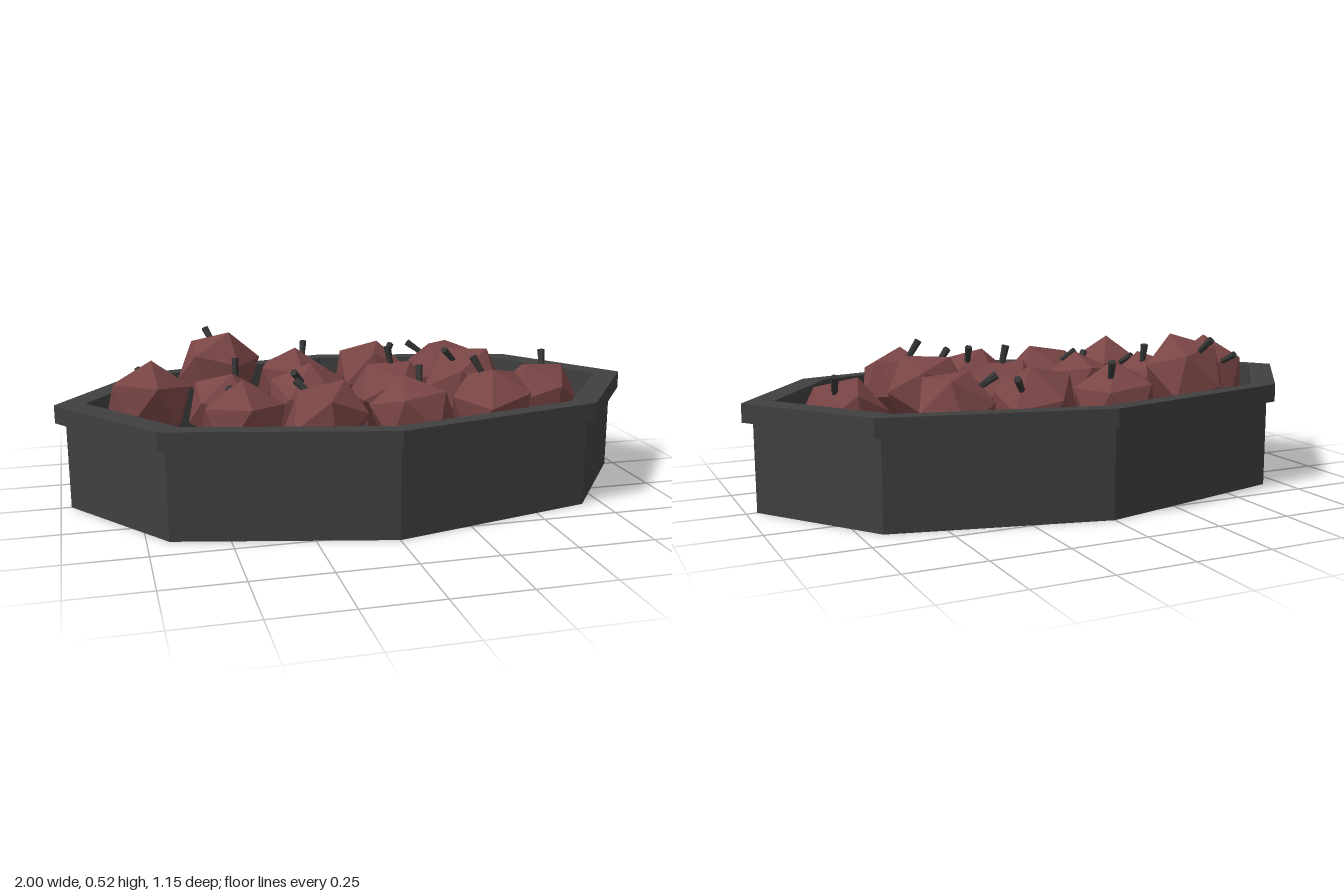
import * as THREE from 'three';

export function createModel() {
  const model = new THREE.Group();
  const mat = (name, color) => new THREE.MeshStandardMaterial({ name, color, flatShading: true });
  const trayGrey = mat('tray grey', 0x404040);
  const fruitRed = mat('fruit red', 0x7a4545);
  const stemGrey = mat('stem grey', 0x363636);

  // Eight-sided tray: base, wall, overhanging rim, inner wall and floor
  const profile = [[0, 0], [0.966, 0], [0.966, 0.29], [1, 0.29], [1, 0.35], [0.9, 0.35], [0.9, 0.1], [0, 0.1]]
    .map(([x, y]) => new THREE.Vector2(x, y));
  const tray = new THREE.Mesh(new THREE.LatheGeometry(profile, 8), trayGrey);
  tray.name = 'tray';
  tray.scale.z = 0.577;
  model.add(tray);

  // Faceted fruit, slightly squashed along the stem axis
  const bodyGeo = new THREE.IcosahedronGeometry(0.15, 0);
  const stemGeo = new THREE.CylinderGeometry(0.013, 0.009, 0.08, 6);
  const up = new THREE.Vector3(0, 1, 0);

  // Each row: x, y, z, sideways lean of the stem in x and z, spin
  const fruits = [
    [-0.43, 0.385, -0.27, -0.02, -0.09, 0.4],
    [-0.16, 0.31, -0.27, 0.05, -0.06, 1.0],
    [0.13, 0.32, -0.27, 0.09, -0.07, 0.6],
    [0.40, 0.32, -0.27, -0.09, -0.04, 2.0],
    [-0.70, 0.335, -0.01, -0.01, -0.12, 0.2],
    [-0.43, 0.30, -0.02, 0.03, -0.03, 1.3],
    [-0.16, 0.31, -0.02, -0.05, 0.08, 0.8],
    [0.13, 0.315, -0.01, 0, -0.01, 0.1],
    [0.40, 0.345, -0.02, -0.07, 0.05, 1.6],
    [0.69, 0.28, -0.02, 0.04, -0.06, 2.3],
    [-0.43, 0.315, 0.26, -0.01, -0.12, 0.1],
    [-0.16, 0.31, 0.26, -0.06, -0.08, 1.1],
    [0.13, 0.31, 0.26, 0.04, -0.06, 0.5],
    [0.40, 0.33, 0.26, -0.04, -0.03, 1.8],
  ];
  for (const [x, y, z, leanX, leanZ, spin] of fruits) {
    const fruit = new THREE.Group();
    fruit.name = 'fruit';
    const body = new THREE.Mesh(bodyGeo, fruitRed);
    body.name = 'fruitBody';
    body.scale.y = 0.88;
    body.rotation.y = spin;
    const stem = new THREE.Mesh(stemGeo, stemGrey);
    stem.name = 'stem';
    stem.position.y = 0.13;
    stem.rotation.z = 0.2;
    fruit.add(body, stem);

    // Tilt the whole fruit so its stem leans the right way
    const ax = leanX / 0.14, az = leanZ / 0.14;
    const axis = new THREE.Vector3(ax, Math.sqrt(Math.max(0.04, 1 - ax * ax - az * az)), az).normalize();
    fruit.quaternion.setFromUnitVectors(up, axis);
    fruit.position.set(x, y, z);
    model.add(fruit);
  }
  return model;
}
